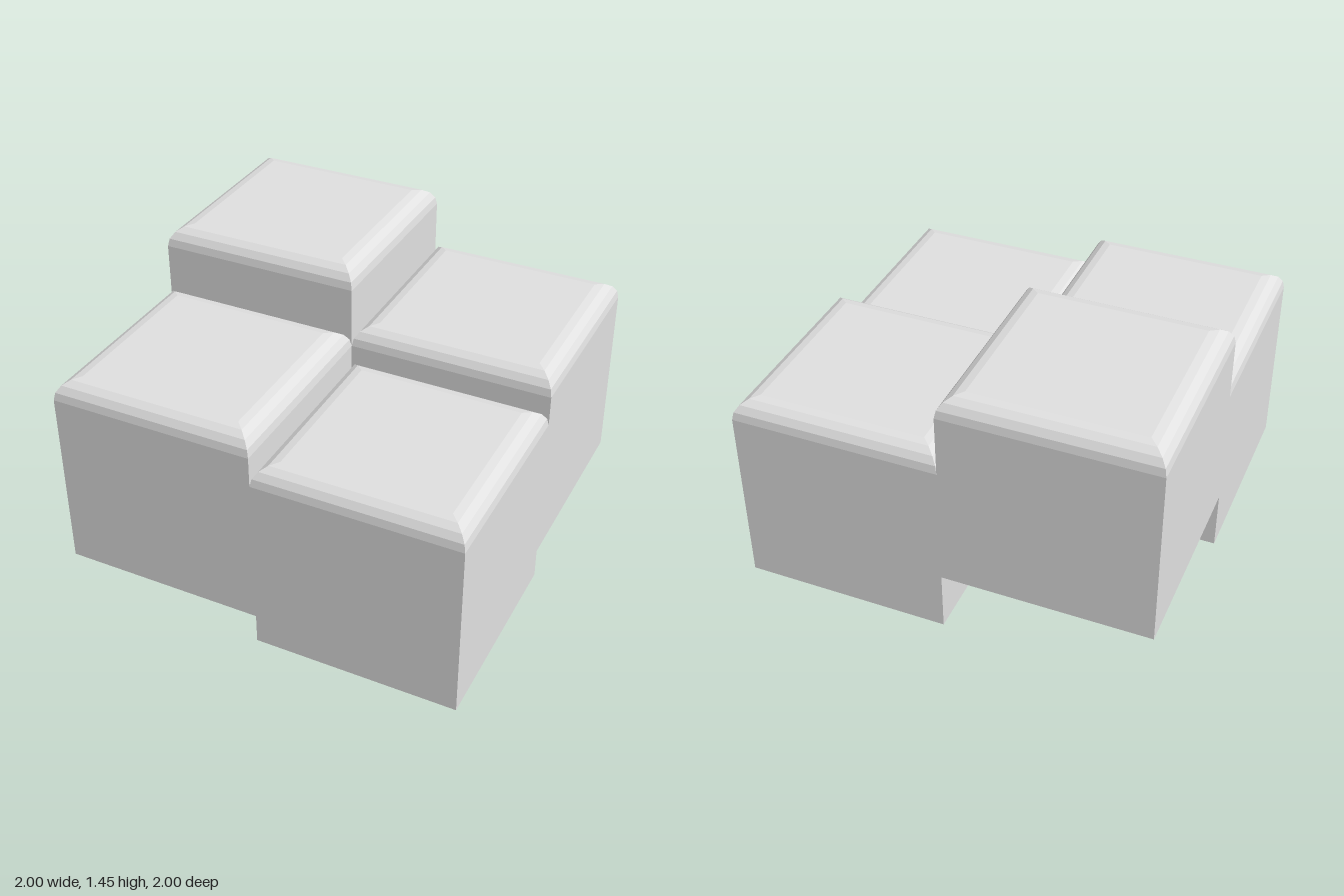
import * as THREE from 'three';

const BEVEL = 0.1;
const STEPS = 4;

// Square block with a flat base and a rounded, mitred top rim: a four-sided lathe
function blockGeometry() {
  const profile = [new THREE.Vector2(0, 0), new THREE.Vector2(0.5, 0)];
  for (let i = 0; i <= STEPS; i++) {
    const a = (i / STEPS) * Math.PI / 2;
    profile.push(new THREE.Vector2(
      0.5 - BEVEL + BEVEL * Math.cos(a),
      1 - BEVEL + BEVEL * Math.sin(a)
    ));
  }
  profile.push(new THREE.Vector2(0, 1));
  profile.forEach((p) => { p.x *= Math.SQRT2; }); // half side to corner distance
  const geometry = new THREE.LatheGeometry(profile, 4, Math.PI / 4).toNonIndexed();
  geometry.computeVertexNormals();
  return geometry;
}

export function createModel() {
  const group = new THREE.Group();
  group.name = 'steppedBlocks';
  const grey = new THREE.MeshStandardMaterial({ color: 0xe0e0e0, flatShading: true });
  grey.name = 'light grey';
  const geometry = blockGeometry();

  // Four equal blocks, each at its own height
  const blocks = [
    ['frontLeftBlock', 0.5, 0, 0.5],
    ['frontRightBlock', -0.5, 0.15, 0.5],
    ['backLeftBlock', 0.5, 0.15, -0.5],
    ['backRightBlock', -0.5, 0.45, -0.5],
  ];
  for (const [name, x, y, z] of blocks) {
    const block = new THREE.Mesh(geometry, grey);
    block.name = name;
    block.position.set(x, y, z);
    group.add(block);
  }
  return group;
}
